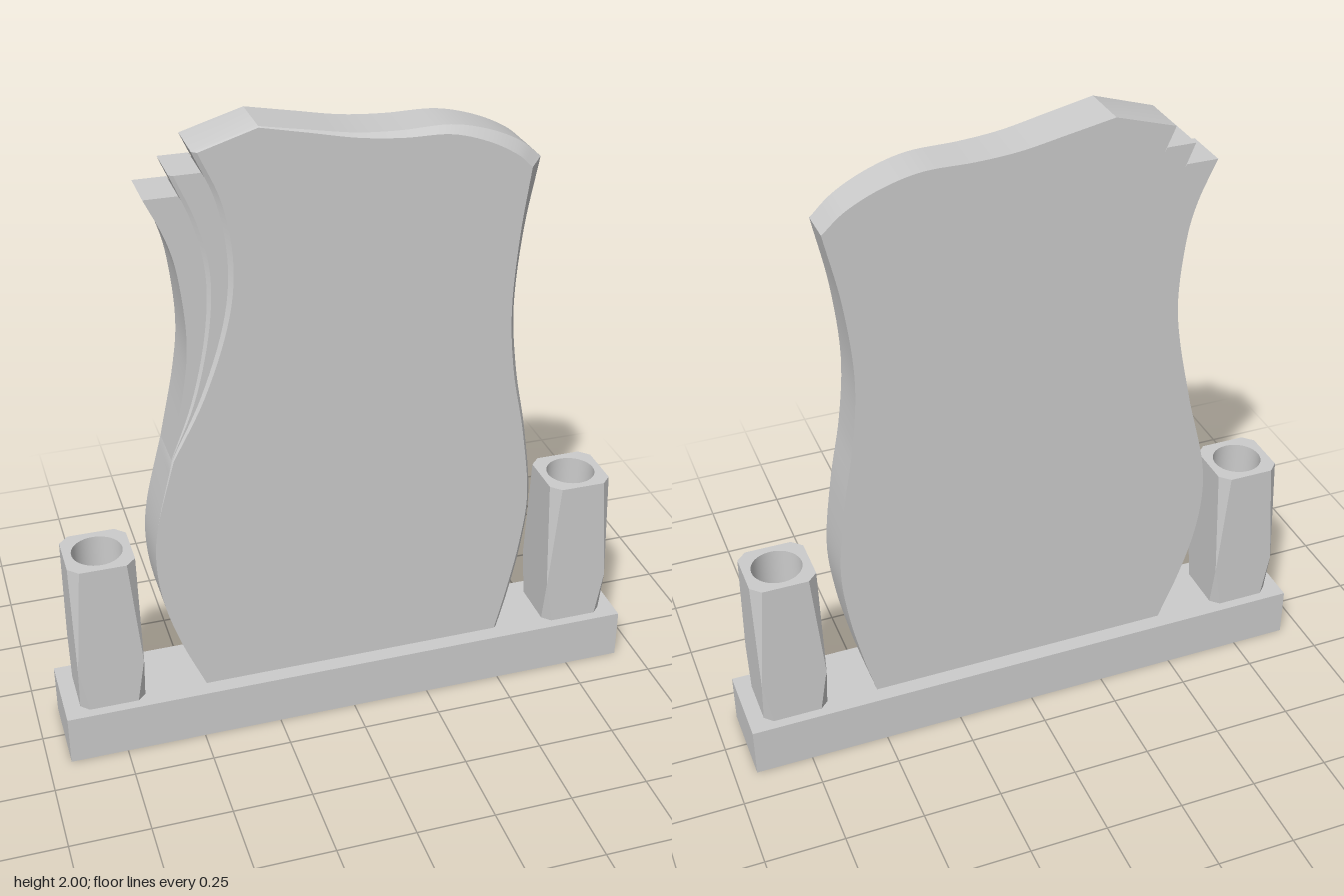
import * as THREE from 'three';
import { toCreasedNormals } from 'three/addons/utils/BufferGeometryUtils.js';

const BASE_TOP = 0.165;
const FRONT = 0.083, BACK = -0.083;
const grey = new THREE.MeshStandardMaterial({ color: 0xcccccc });
const greyDouble = new THREE.MeshStandardMaterial({ color: 0xcccccc, side: THREE.DoubleSide });

function mesh(name, geometry, material = grey) {
  const m = new THREE.Mesh(geometry, material);
  m.name = name;
  return m;
}

function fromTriangles(pos, crease) {
  const g = new THREE.BufferGeometry();
  g.setAttribute('position', new THREE.Float32BufferAttribute(pos, 3));
  g.computeVertexNormals();
  return crease ? toCreasedNormals(g, crease) : g;
}

const quad = (pos, a, b, c, d) => pos.push(...a, ...b, ...c, ...a, ...c, ...d);

// Smooth path through rows [x, y, bevel dx, bevel dy, bevel depth]
function path(rows, perSpan = 6) {
  const curve = (f) => new THREE.CatmullRomCurve3(rows.map(f), false, 'catmullrom');
  const outer = curve((r) => new THREE.Vector3(r[0], r[1], 0));
  const bevel = curve((r) => new THREE.Vector3(r[2] || 0, r[3] || 0, r[4] || 0));
  const n = (rows.length - 1) * perSpan;
  return Array.from({ length: n + 1 }, (_, i) => {
    const p = outer.getPoint(i / n), b = bevel.getPoint(i / n);
    return { x: p.x, y: p.y, dx: b.x, dy: b.y, d: Math.max(0, b.z) };
  });
}

// Upright slab with a variable bevel round its front; rim runs counterclockwise
function slab(rim, front) {
  const pos = [];
  const back = rim.map((p) => [p.x, p.y, BACK]);
  const edge = rim.map((p) => [p.x, p.y, front - p.d]);
  const face = rim.map((p) => [p.x + p.dx, p.y + p.dy, front]);
  rim.forEach((p, i) => {
    const j = (i + 1) % rim.length;
    quad(pos, back[i], back[j], edge[j], edge[i]);
    if (p.d + rim[j].d > 1e-4) quad(pos, edge[i], edge[j], face[j], face[i]);
  });
  const fill = (ring, flip) => {
    const flat = ring.map((p) => new THREE.Vector2(p[0], p[1]));
    for (const [a, b, c] of THREE.ShapeUtils.triangulateShape(flat, [])) {
      pos.push(...ring[a], ...ring[flip ? c : b], ...ring[flip ? b : c]);
    }
  };
  fill(face, false);
  fill(back, true);
  return fromTriangles(pos, 0.45);
}

function createHeadstone() {
  const group = new THREE.Group();
  group.name = 'headstone';

  const rightSide = path([
    [0.511, BASE_TOP, -0.01, 0, 0.008], [0.548, 0.307, -0.012, 0, 0.01],
    [0.585, 0.49, -0.012, 0, 0.012], [0.601, 0.677, -0.01, 0, 0.014],
    [0.574, 0.915, -0.012, 0, 0.018], [0.537, 1.127, -0.016, 0, 0.023],
    [0.521, 1.34, -0.018, 0, 0.03], [0.543, 1.577, -0.027, 0, 0.04],
    [0.588, 1.8, -0.045, -0.01, 0.051],
  ]);
  const top = path([
    [0.588, 1.8, -0.045, -0.01, 0.051], [0.52, 1.857, -0.025, -0.023, 0.045],
    [0.42, 1.905, -0.015, -0.022, 0.037], [0.3, 1.935, -0.008, -0.018, 0.029],
    [0.15, 1.937, 0, -0.015, 0.021], [0.02, 1.947, 0, -0.01, 0.015],
    [-0.12, 1.973, 0, -0.006, 0.009], [-0.26, 2.0, 0, -0.003, 0.004],
  ]);
  // Three sweeping edges on the stepped shoulder, from tip to meeting point
  const innerSweep = path([
    [-0.445, 1.945, 0.014, 0, 0.012], [-0.382, 1.79, 0.014, 0, 0.012],
    [-0.356, 1.603, 0.014, 0, 0.012], [-0.377, 1.418, 0.012, 0, 0.012],
    [-0.45, 1.196, 0.009, 0, 0.012], [-0.546, 1.0, 0.004, 0, 0.006],
  ]);
  const middleSweep = path([
    [-0.509, 1.884, 0.012, 0, 0.007], [-0.45, 1.735, 0.012, 0, 0.007],
    [-0.419, 1.577, 0.012, 0, 0.007], [-0.43, 1.39, 0.01, 0, 0.007],
    [-0.477, 1.18, 0.007, 0, 0.007], [-0.546, 1.0],
  ]);
  const outerSweep = path([
    [-0.583, 1.822], [-0.528, 1.7], [-0.498, 1.58],
    [-0.482, 1.39], [-0.498, 1.23], [-0.546, 1.0],
  ]);
  const lowerLeft = path([
    [-0.546, 1.0, 0.004, 0, 0.006], [-0.6, 0.783], [-0.612, 0.64],
    [-0.593, 0.49], [-0.546, 0.333], [-0.477, BASE_TOP],
  ]);

  group.add(mesh('mainSlab', slab(
    [...rightSide, ...top.slice(1), ...innerSweep, ...lowerLeft.slice(1)], FRONT)));

  // Each strip fills the gap between two neighbouring sweeps
  const strip = (inner, outer, notchX, front) => {
    const notchY = outer[0].y;
    const rise = inner.filter((p) => p.y < notchY - 0.005).reverse()
      .map((p) => ({ x: p.x, y: p.y, dx: 0, dy: 0, d: 0 }));
    const notch = { x: notchX, y: notchY, dx: 0, dy: 0, d: 0 };
    return slab([...rise, notch, ...outer.slice(0, -1)], front);
  };
  group.add(mesh('middleShoulderStep', strip(innerSweep, middleSweep, -0.42, FRONT - 0.009)));
  group.add(mesh('outerShoulderStep', strip(middleSweep, outerSweep, -0.485, FRONT - 0.015)));
  return group;
}

function createVase(name) {
  const group = new THREE.Group();
  group.name = name;
  const h = 0.103, height = 0.515, radius = 0.078, depth = 0.3;

  // Square section with its corners cut by c
  const ring = (y, c) => {
    const k = h - c;
    return [[h, k], [h, -k], [k, -h], [-k, -h], [-h, -k], [-h, k], [-k, h], [k, h]]
      .map(([x, z]) => [x, y, z]);
  };
  const rings = [ring(0, 0.026), ring(0.15, 0.0005), ring(height, 0.031)];
  const pos = [];
  for (let r = 0; r < 2; r++) {
    for (let i = 0; i < 8; i++) {
      const j = (i + 1) % 8;
      quad(pos, rings[r][i], rings[r][j], rings[r + 1][j], rings[r + 1][i]);
    }
  }
  for (let i = 1; i < 7; i++) pos.push(...rings[0][0], ...rings[0][i + 1], ...rings[0][i]);
  group.add(mesh('vaseBody', fromTriangles(pos)));

  // Rim with a round opening
  const rim = new THREE.Shape(rings[2].map(([x, , z]) => new THREE.Vector2(x, -z)));
  rim.holes.push(new THREE.Path().absarc(0, 0, radius, 0, Math.PI * 2, true));
  const rimMesh = mesh('vaseRim', new THREE.ShapeGeometry(rim, 20));
  rimMesh.rotation.x = -Math.PI / 2;
  rimMesh.position.y = height;
  group.add(rimMesh);

  // Bored hole
  const bore = new THREE.LatheGeometry([
    new THREE.Vector2(0, height - depth),
    new THREE.Vector2(radius, height - depth),
    new THREE.Vector2(radius, height),
  ], 40);
  group.add(mesh('vaseHole', toCreasedNormals(bore, 0.5), greyDouble));
  return group;
}

export function createModel() {
  const model = new THREE.Group();
  model.name = 'gravestone';

  const base = mesh('base', new THREE.BoxGeometry(1.86, BASE_TOP, 0.27));
  base.position.y = BASE_TOP / 2;
  model.add(base, createHeadstone());

  for (const [side, name] of [[1, 'leftVase'], [-1, 'rightVase']]) {
    const vase = createVase(name);
    vase.position.set(side * 0.777, BASE_TOP, 0);
    model.add(vase);
  }
  return model;
}
